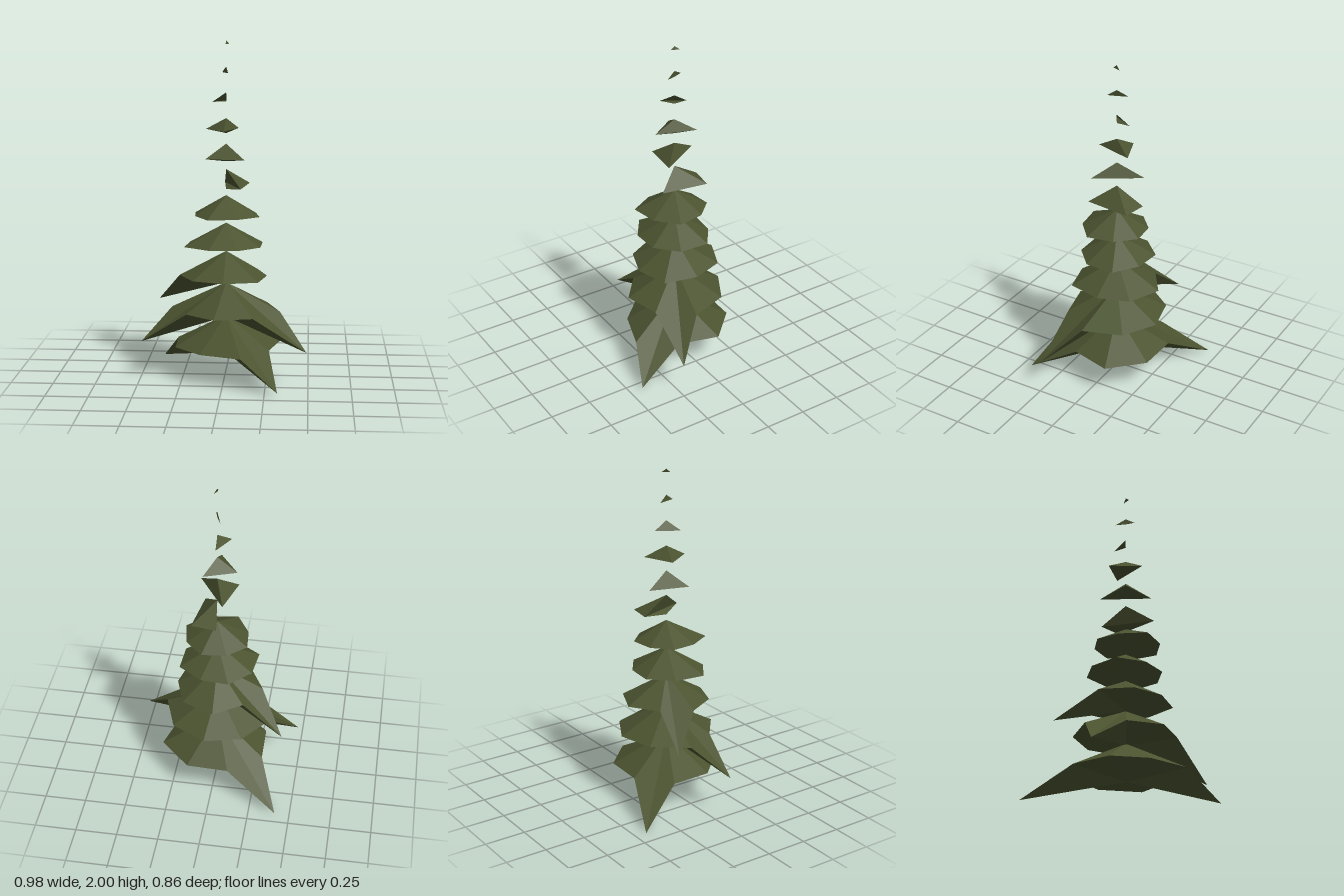
import * as THREE from 'three';

// Lower skirts: uneven eight-sided rims (turn in degrees, radii) and long drooping branches [x, y, z]
const SKIRTS = [
  { tip: 0.37, turn: -18, radii: [0.35, 0.3, 0.36, 0.29, 0.305, 0.33, 0.32, 0.33], branches: [[-0.41, 0, -0.43], [0.325, 0.02, 0.43]] },
  { tip: 0.57, turn: 9, radii: [0.335, 0.3, 0.3, 0.27, 0.325, 0.3, 0.3, 0.31], branches: [[0.49, 0.21, 0.245], [-0.49, 0.23, 0.115]] },
  { tip: 0.76, turn: -1, radii: [0.25, 0.285, 0.25, 0.255, 0.27, 0.24, 0.28, 0.27], branches: [[-0.415, 0.42, -0.2]] },
  { tip: 0.93, turn: 22, radii: [0.23, 0.22, 0.22, 0.255, 0.23, 0.23, 0.21, 0.24], branches: [] },
  { tip: 1.095, turn: 22, radii: [0.225, 0.21, 0.235, 0.185, 0.195, 0.185, 0.2, 0.195], branches: [] },
];

// Sparse upper sprigs: rim points [x, z], from low to high
const SPRIGS = [
  [[0.14, -0.14], [0.1, 0.14], [-0.01, -0.165]],
  [[0.12, 0.11], [-0.11, 0.08], [-0.045, -0.155]],
  [[0, 0.125], [-0.115, -0.04], [0.075, -0.11]],
  [[-0.07, 0.05], [0.005, -0.083]],
  [[0.022, 0.055], [-0.02, -0.06]],
  [[0.005, 0.025], [0.023, -0.025]],
];

// Tiers get flatter towards the treetop
const rimHeight = (tip, level) => tip - 0.18 + 0.016 * level;

// Faceted tier: one fan from the tip to the rim, one from the rim to the underside
function tierGeometry(tip, under, rim) {
  const loop = [...rim].sort((a, b) => Math.atan2(a[2], a[0]) - Math.atan2(b[2], b[0]));
  const top = [0.007, tip, 0];
  const bottom = [0.007, under, 0];
  const positions = [];
  const sides = loop.length > 2 ? loop.length : 1; // a two-point rim makes a single blade
  for (let i = 0; i < sides; i++) {
    const a = loop[i];
    const b = loop[(i + 1) % loop.length];
    positions.push(...top, ...b, ...a, ...bottom, ...a, ...b);
  }
  const geometry = new THREE.BufferGeometry();
  geometry.setAttribute('position', new THREE.Float32BufferAttribute(positions, 3));
  geometry.computeVertexNormals();
  return geometry;
}

export function createModel() {
  const tree = new THREE.Group();
  tree.name = 'coniferTree';
  const foliage = new THREE.MeshStandardMaterial({ color: 0x4b5330, flatShading: true, side: THREE.DoubleSide });
  foliage.name = 'foliageGreen';

  const addTier = (name, tip, under, rim) => {
    const mesh = new THREE.Mesh(tierGeometry(tip, under, rim), foliage);
    mesh.name = name;
    tree.add(mesh);
  };

  // Full lower skirts
  SKIRTS.forEach(({ tip, turn, radii, branches }, level) => {
    const y = rimHeight(tip, level);
    const rim = radii.map((r, i) => {
      const angle = THREE.MathUtils.degToRad(turn + i * 45);
      return [r * Math.cos(angle), y, r * Math.sin(angle)];
    });
    addTier(`skirt${level + 1}`, tip, y - 0.05 + 0.004 * level, [...rim, ...branches]);
  });

  // Sparse sprigs up to the treetop
  SPRIGS.forEach((points, i) => {
    const tip = 1.25 + 0.15 * i;
    const y = rimHeight(tip, SKIRTS.length + i);
    const under = points.length > 2 ? y - 0.02 : y;
    addTier(`sprig${i + 1}`, tip, under, points.map(([x, z]) => [x, y, z]));
  });
  return tree;
}
